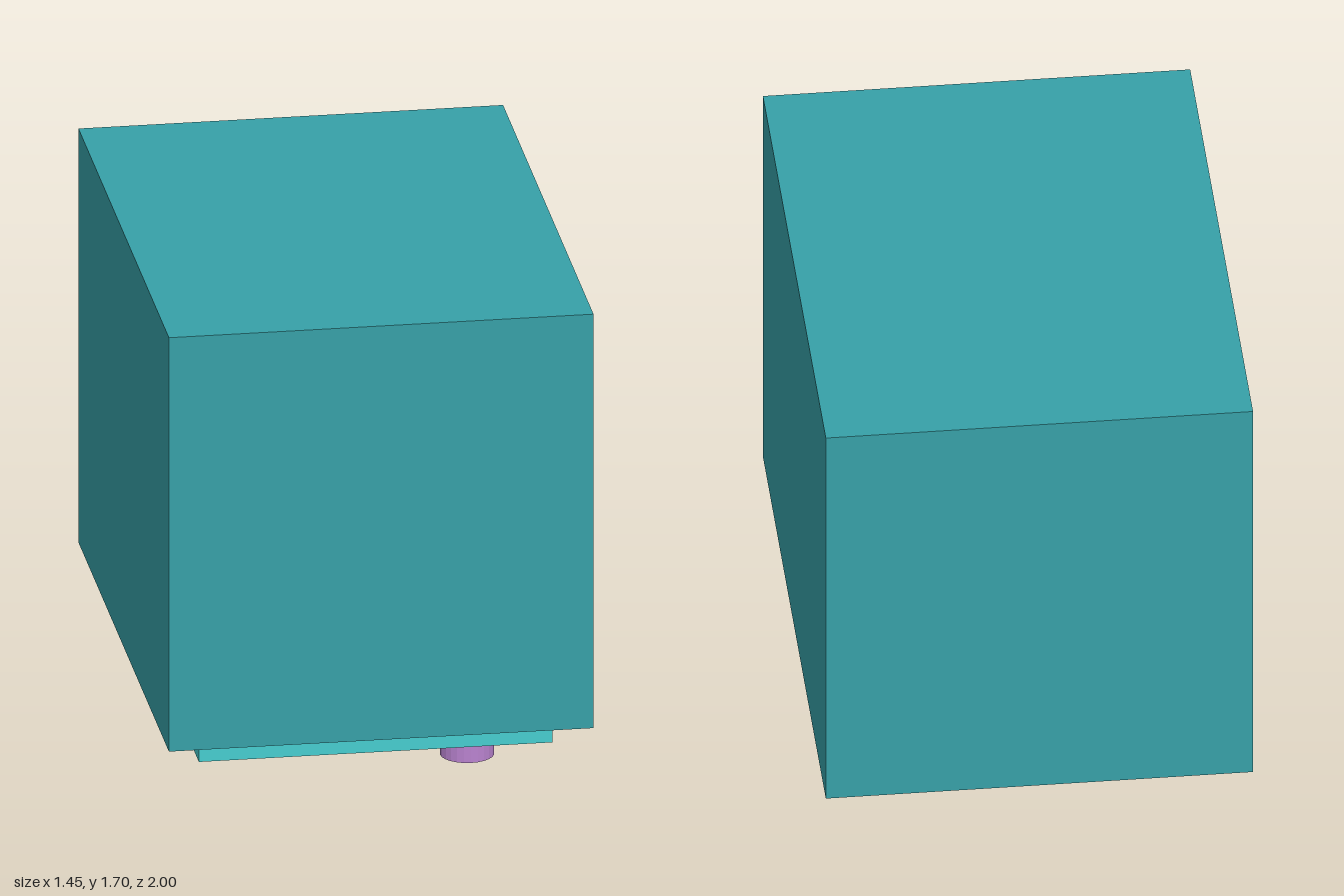
import * as THREE from 'three';

const paint = (name, color) => {
  const m = new THREE.MeshStandardMaterial({ color, flatShading: true });
  m.name = name;
  return m;
};

export function createModel() {
  const group = new THREE.Group();
  const teal = paint('teal', 0x37a1a8);
  const aqua = paint('bright aqua', 0x47cdd0);
  const silver = paint('silver grey', 0xa9babd);
  const slate = paint('slate', 0x546873);
  const purple = paint('purple', 0xb983cf);

  const add = (name, geometry, material, x, y, z) => {
    const mesh = new THREE.Mesh(geometry, material);
    mesh.name = name;
    mesh.position.set(x, y, z);
    group.add(mesh);
  };
  // Parts are placed by their bottom and top heights
  const box = (name, mat, w, y0, y1, d, z = 0) =>
    add(name, new THREE.BoxGeometry(w, y1 - y0, d), mat, 0, (y0 + y1) / 2, z);
  const disc = (name, mat, r, y0, y1, sides, x = 0, z = 0) =>
    add(name, new THREE.CylinderGeometry(r, r, y1 - y0, sides), mat, x, (y0 + y1) / 2, z);

  // Main block
  box('body', teal, 1.454, 0.2, 1.7, 2);

  // Stepped round fitting on the underside
  disc('outerRing', silver, 0.56, 0.083, 0.194, 32);
  disc('innerDrum', slate, 0.415, 0, 0.09, 32);

  // Plate near the front edge, with its round button
  box('frontPlate', aqua, 1.21, 0.108, 0.19, 0.33, 0.71);
  disc('button', purple, 0.092, 0.038, 0.112, 24, 0.332, 0.753);

  return group;
}
